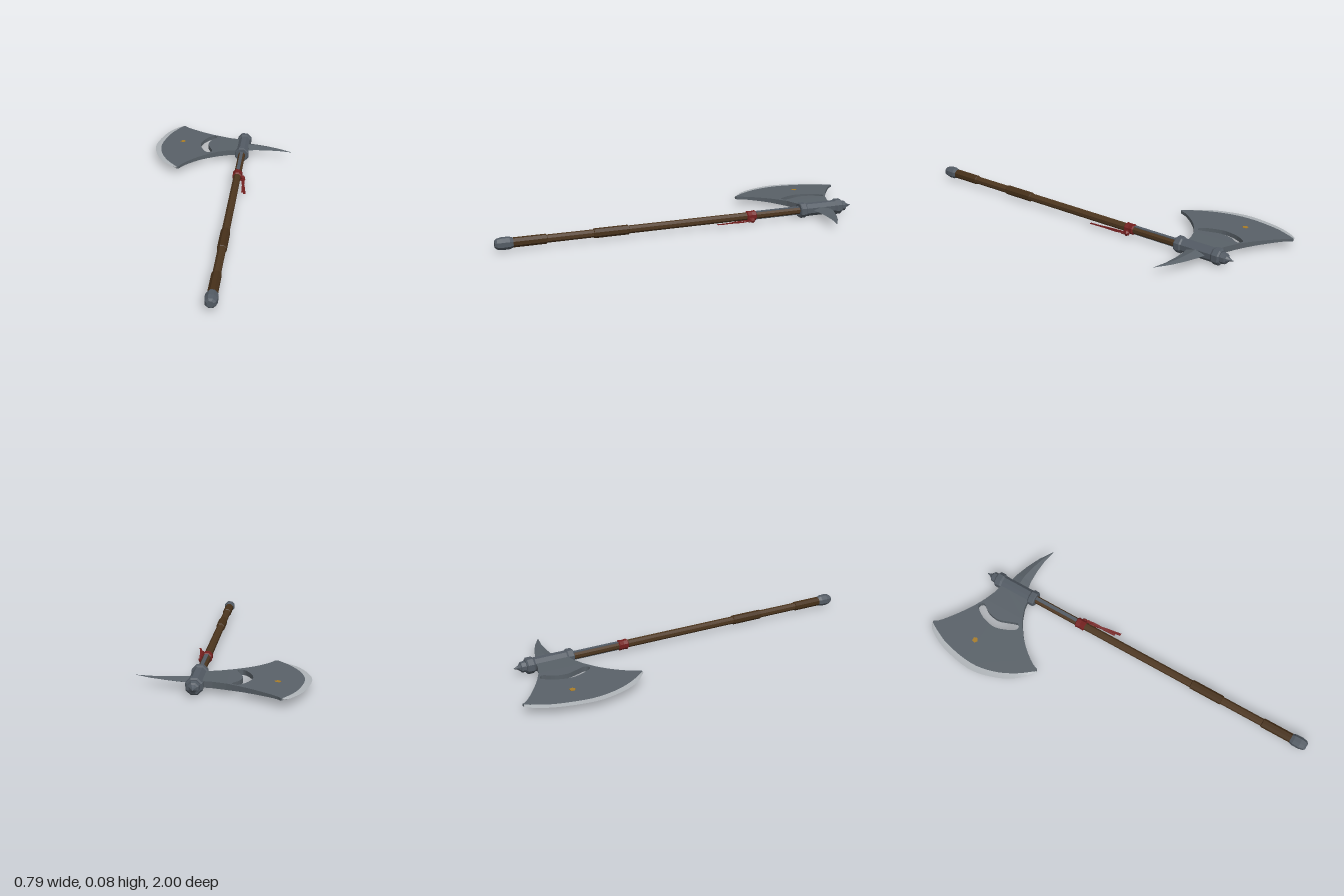
import * as THREE from 'three';

const CX = 0.108, CY = 0.039; // shaft axis

const mat = (name, color, side = THREE.FrontSide) =>
  new THREE.MeshStandardMaterial({ name, color, side, flatShading: true });

const spline = (pts, n) =>
  new THREE.SplineCurve(pts.map(p => new THREE.Vector2(...p))).getPoints(n);

// Half thickness of the axe head, thinning towards the cutting edge
const half = x => 0.0145 * THREE.MathUtils.clamp((x + 0.42) / 0.39, 0.02, 1);

// Flat plate in the x/z plane; shape points are (x, -z)
function plate(points, hole) {
  const shape = new THREE.Shape(points);
  if (hole) shape.holes.push(new THREE.Path(hole));
  const g = new THREE.ExtrudeGeometry(shape, { depth: 1, bevelEnabled: false });
  g.translate(0, 0, -0.5).rotateX(-Math.PI / 2);
  const p = g.attributes.position;
  for (let i = 0; i < p.count; i++) p.setY(i, CY + Math.sign(p.getY(i)) * half(p.getX(i)));
  g.computeVertexNormals();
  return g;
}

// Joins equal-length loops of points into a skin
function loft(rings) {
  const n = rings[0].length, index = [];
  for (let i = 0; i < rings.length - 1; i++)
    for (let j = 0; j < n; j++) {
      const a = i * n + j, b = i * n + (j + 1) % n;
      index.push(a, b, a + n, b, b + n, a + n);
    }
  const g = new THREE.BufferGeometry();
  g.setAttribute('position', new THREE.Float32BufferAttribute(rings.flat(2), 3));
  g.setIndex(index);
  g.computeVertexNormals();
  return g;
}

// Octagonal turning along z; profile is [flat-to-centre radius, z], z ascending
function turned(profile) {
  const k = 1 / Math.cos(Math.PI / 8);
  const g = new THREE.LatheGeometry(profile.map(([r, z]) => new THREE.Vector2(r * k, z)), 8, Math.PI / 8);
  return g.rotateX(Math.PI / 2).translate(CX, CY, 0);
}

export function createModel() {
  const group = new THREE.Group();
  group.name = 'battleAxe';
  const steel = mat('steel', 0x596168, THREE.DoubleSide);
  const iron = mat('iron', 0x535b64);
  const edge = mat('sharpenedEdge', 0xaeb3b7, THREE.DoubleSide);
  const wood = mat('wood', 0x4d361f);
  const leather = mat('leather', 0x463019);
  const cloth = mat('redCloth', 0x74201f, THREE.DoubleSide);
  const gold = mat('gold', 0xa87c28);
  const add = (name, geometry, material) => {
    const m = new THREE.Mesh(geometry, material);
    m.name = name;
    group.add(m);
    return m;
  };
  const V = pts => pts.map(p => new THREE.Vector2(...p));

  // Cutting edge band, meeting in a sharp line
  const outer = spline([[-0.285, 0.997], [-0.315, 0.975], [-0.368, 0.87], [-0.4, 0.7],
    [-0.378, 0.57], [-0.325, 0.46], [-0.24, 0.38]], 24);
  const inner = spline([[-0.278, 0.997], [-0.3, 0.96], [-0.342, 0.86], [-0.368, 0.7],
    [-0.347, 0.57], [-0.298, 0.465], [-0.236, 0.382]], 24);
  add('cuttingEdge', loft(outer.map((o, i) => {
    const q = inner[i], h = half(q.x);
    return [[o.x, CY, -o.y], [q.x, CY + h, -q.y], [q.x, CY - h, -q.y]];
  })), edge);

  // Blade with crescent slot, and the neck into the socket
  const topCurve = spline([[-0.03, 0.83], [-0.1, 0.866], [-0.18, 0.918], [-0.25, 0.972], [-0.27, 1]], 10);
  const lowCurve = spline([[-0.225, 0.385], [-0.205, 0.43], [-0.155, 0.495], [-0.1, 0.548], [-0.03, 0.597]], 10);
  const slot = spline([[-0.095, 0.828], [-0.124, 0.78], [-0.14, 0.71], [-0.126, 0.65], [-0.1, 0.6],
    [-0.08, 0.59], [-0.062, 0.608], [-0.08, 0.66], [-0.095, 0.71], [-0.085, 0.77], [-0.056, 0.815],
    [-0.062, 0.834], [-0.08, 0.84], [-0.095, 0.828]], 39).slice(0, -1);
  add('blade', plate([...topCurve, ...inner, ...lowCurve], slot), steel);
  add('bladeNeck', plate(V([[-0.03, 0.83], [0.03, 0.808], [0.1, 0.795], [0.1, 0.635],
    [0.03, 0.622], [-0.03, 0.597]])), steel);

  // Small gold inlay on the upper face
  const inlay = new THREE.CylinderGeometry(0.016, 0.016, 0.003, 5);
  inlay.rotateZ(0.037).translate(-0.25, CY + half(-0.25), -0.75);
  add('goldInlay', inlay, gold);

  // Curved back spike with a diamond section: [x, rear z, front z, half thickness]
  add('backSpike', loft([[0.12, -0.775, -0.665, 0.016], [0.18, -0.765, -0.678, 0.0135],
    [0.25, -0.742, -0.682, 0.009], [0.32, -0.712, -0.679, 0.0045], [0.394, -0.667, -0.666, 0.0003]]
    .map(([x, a, b, h]) => {
      const m = (a + b) / 2;
      return [[x, CY, a], [x, CY + h, m], [x, CY, b], [x, CY - h, m]];
    })), steel);

  // Socket with collars, cap and finial
  add('socket', turned([[0, -0.845], [0.031, -0.845], [0.038, -0.838], [0.038, -0.81], [0.032, -0.8],
    [0.032, -0.635], [0.038, -0.628], [0.038, -0.602], [0.034, -0.597], [0, -0.597]]), iron);
  add('finial', turned([[0, -0.907], [0.008, -0.885], [0.017, -0.872], [0.024, -0.868],
    [0.026, -0.845], [0, -0.845]]), iron);

  // Shaft, grips and pommel
  add('shaft', turned([[0.0185, -0.6], [0.0185, 0.93]]), wood);
  for (const [a, b] of [[0.34, 0.52], [0.75, 0.92]])
    add('grip', turned([[0.018, a], [0.0225, a + 0.003], [0.0225, b - 0.003], [0.018, b]]), leather);
  add('pommel', turned([[0, 0.912], [0.022, 0.912], [0.028, 0.93], [0.029, 0.965],
    [0.024, 0.99], [0.016, 1], [0, 1]]), iron);

  // Langets running down from the socket
  for (const s of [1, -1])
    add('langet', new THREE.BoxGeometry(0.018, 0.004, 0.27).translate(CX, CY + s * 0.0185, -0.465), iron);

  // Cloth binding, knot and two trailing tails
  add('clothBinding', turned([[0.019, -0.347], [0.025, -0.342], [0.023, -0.32], [0.025, -0.298], [0.019, -0.293]]), cloth);
  add('clothKnot', new THREE.IcosahedronGeometry(0.016, 0).translate(0.136, 0.024, -0.318), cloth);
  const tails = [
    [[0.136, 0.024, -0.32], [0.142, 0.02, -0.26], [0.153, 0.026, -0.19], [0.163, 0.03, -0.112]],
    [[0.136, 0.026, -0.32], [0.146, 0.03, -0.27], [0.147, 0.027, -0.21], [0.15, 0.024, -0.14]],
  ];
  for (const path of tails)
    add('clothTail', loft(path.map(([x, y, z]) => [[x - 0.006, y - 0.004, z], [x + 0.006, y - 0.002, z],
      [x + 0.006, y + 0.002, z], [x - 0.006, y, z]])), cloth);
  add('clothLoop', new THREE.TorusGeometry(0.012, 0.004, 5, 8).rotateX(Math.PI / 2)
    .translate(0.138, 0.022, -0.3), cloth);

  return group;
}
